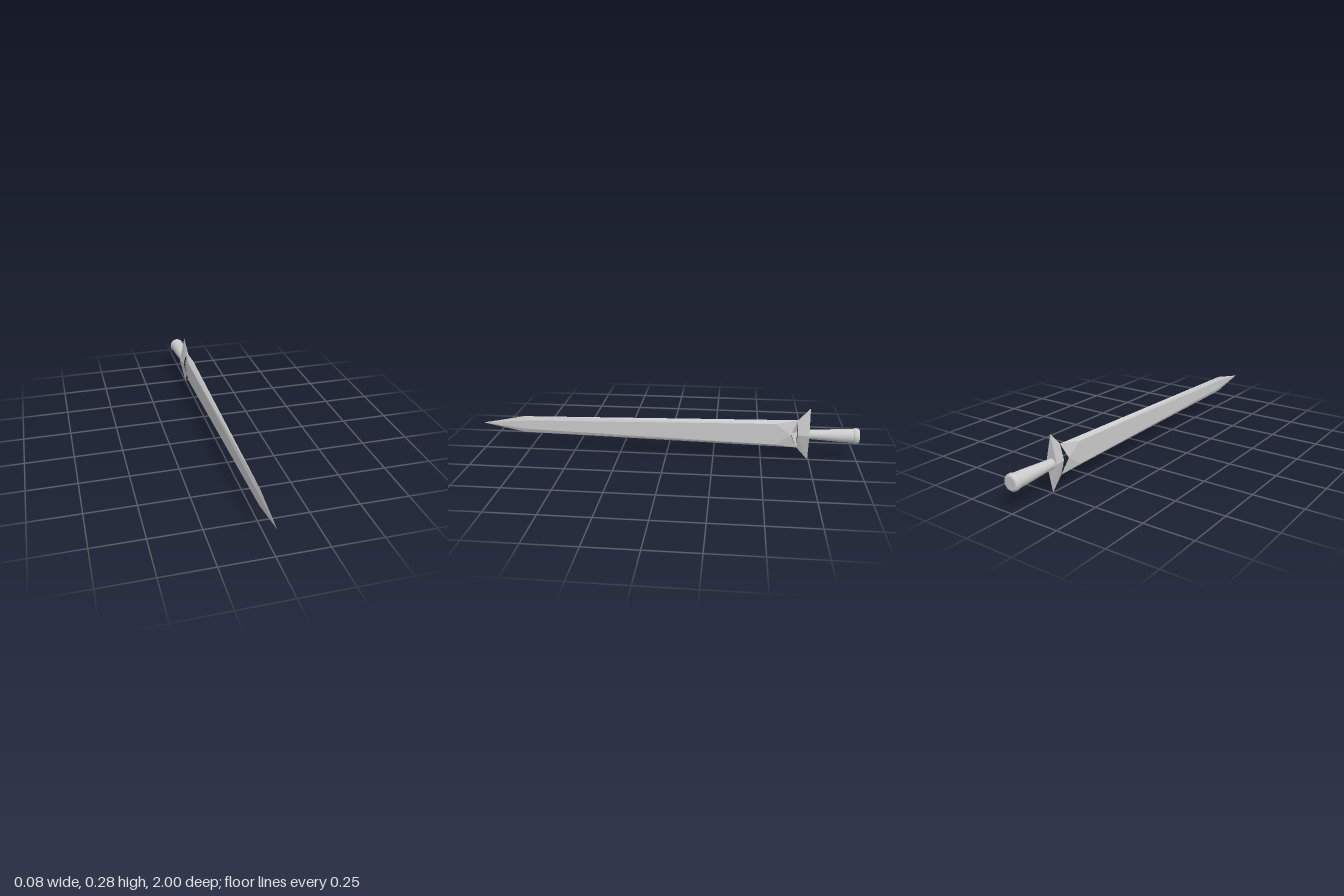
import * as THREE from 'three';

const grey = () => new THREE.MeshStandardMaterial({ color: 0xcccccc });
const CENTRE_Y = 0.142;

// Mirror quarter-section triangles over x and y, each wound away from the centre
function mirroredFacets(name, triangles, centre) {
  const positions = [];
  for (const sx of [1, -1]) for (const sy of [1, -1]) {
    for (const tri of triangles) {
      const [a, b, c] = tri.map(([x, y, z]) => new THREE.Vector3(x * sx, y * sy, z));
      const normal = b.clone().sub(a).cross(c.clone().sub(a));
      const outward = a.clone().add(b).add(c).divideScalar(3).sub(centre);
      const ordered = normal.dot(outward) < 0 ? [a, c, b] : [a, b, c];
      for (const p of ordered) positions.push(p.x, p.y, p.z);
    }
  }
  const geometry = new THREE.BufferGeometry();
  geometry.setAttribute('position', new THREE.Float32BufferAttribute(positions, 3));
  geometry.computeVertexNormals();
  const material = grey();
  material.flatShading = true;
  const mesh = new THREE.Mesh(geometry, material);
  mesh.name = name;
  return mesh;
}

// Round part along z from [radius, z] points
function turned(name, points) {
  const geometry = new THREE.LatheGeometry(points.map(([r, z]) => new THREE.Vector2(r, z)), 32);
  geometry.rotateX(Math.PI / 2);
  const mesh = new THREE.Mesh(geometry, grey());
  mesh.name = name;
  return mesh;
}

export function createModel() {
  const sword = new THREE.Group();
  sword.name = 'sword';

  // Blade: flat faces, bevelled edges, pointed tip and a short ridge at the root
  const tip = [0, 0, 1];
  const edgeFront = [0, 0.045, 0.77];
  const flatFront = [0.009, 0.025, 0.74];
  const flatMid = [0.009, 0, 0.74];
  const flatBack = [0.018, 0.057, -0.57];
  const flatPoint = [0.0185, 0, -0.65];
  const edgeBack = [0, 0.076, -0.685];
  const root = [0.02, 0, -0.685];
  sword.add(mirroredFacets('blade', [
    [tip, edgeFront, flatFront], [tip, flatFront, flatMid],
    [flatMid, flatFront, flatBack], [flatMid, flatBack, flatPoint],
    [edgeFront, flatFront, flatBack], [edgeFront, flatBack, edgeBack],
    [edgeBack, flatBack, flatPoint], [edgeBack, flatPoint, root],
  ], new THREE.Vector3(0, 0, 0)));

  // Guard: diamond flaring towards the hand
  const top = [0, 0.142, -0.745], side = [0.031, 0, -0.745], back = [0, 0, -0.745];
  sword.add(mirroredFacets('guard', [
    [top, side, root], [top, root, edgeBack], [back, top, side],
  ], new THREE.Vector3(0, 0, -0.715)));

  // Grip widening towards the pommel
  sword.add(turned('grip', [
    [0.037, -0.97], [0.035, -0.92], [0.031, -0.86], [0.027, -0.80], [0.024, -0.74],
  ]));

  // Pommel: rounded collar with a flat end
  sword.add(turned('pommel', [
    [0.029, -1], [0.034, -0.999], [0.039, -0.994], [0.041, -0.986],
    [0.041, -0.978], [0.039, -0.971], [0.036, -0.968],
  ]));
  const cap = new THREE.Mesh(new THREE.CircleGeometry(0.029, 32), grey());
  cap.name = 'pommelCap';
  cap.rotation.y = Math.PI;
  cap.position.z = -1;
  sword.add(cap);

  sword.position.y = CENTRE_Y;
  const model = new THREE.Group();
  model.add(sword);
  return model;
}
